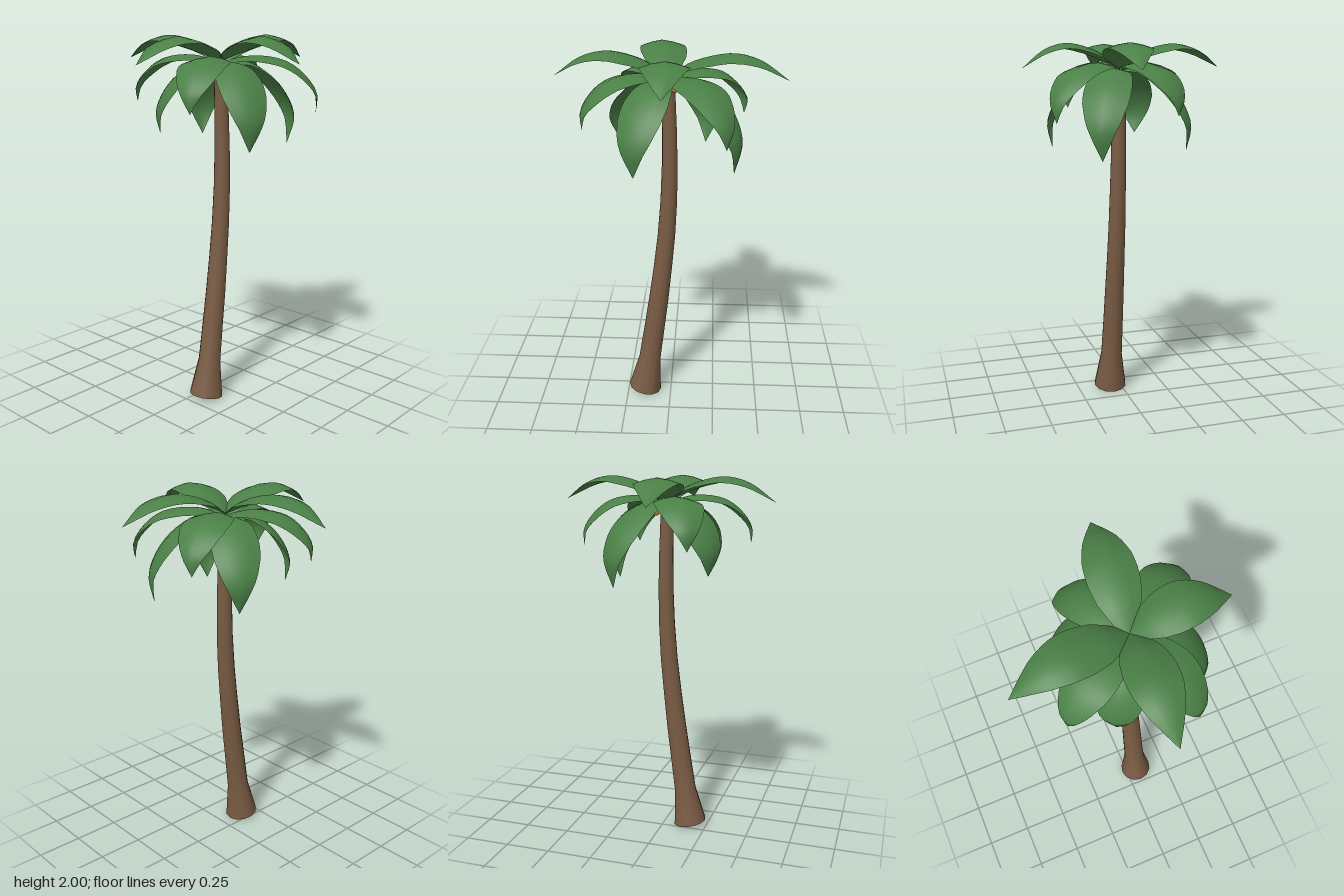
import * as THREE from 'three';

const mat = (name, color, side = THREE.FrontSide) => {
  const m = new THREE.MeshStandardMaterial({ color, side });
  m.name = name;
  return m;
};
const v2 = (list) => list.map(([x, y]) => new THREE.Vector3(x, y, 0));

// Centre of the crown, where all fronds start
const HUB = { x: -0.015, z: 0.05 };

// Half width of a frond along its length
const WIDTHS = [[0, 0.03], [0.1, 0.07], [0.25, 0.108], [0.4, 0.125], [0.55, 0.12],
  [0.72, 0.09], [0.87, 0.045], [1, 0.0005]];
function halfWidth(t) {
  for (let i = 1; i < WIDTHS.length; i++) {
    const [a, wa] = WIDTHS[i - 1], [b, wb] = WIDTHS[i];
    if (t <= b) return THREE.MathUtils.lerp(wa, wb, (t - a) / (b - a));
  }
  return 0;
}

// Three tiers: side profile (radius, height) and tips (x, z, lift of the tip)
const TIERS = [
  { name: 'upperFrond',
    profile: [[0, 1.87], [0.1, 1.943], [0.21, 1.983], [0.33, 2.0], [0.46, 1.968], [0.6, 1.872]],
    tips: [[0.595, 0.11, 0], [-0.02, 0.562, 0], [-0.6, 0.035, 0], [-0.1, -0.566, 0]] },
  { name: 'middleFrond',
    profile: [[0, 1.865], [0.15, 1.9], [0.31, 1.872], [0.41, 1.79], [0.46, 1.7], [0.455, 1.61]],
    tips: [[0.385, -0.15, 0.03], [0.285, 0.45, 0], [-0.437, 0.23, 0.03], [-0.24, -0.357, 0.04]] },
  { name: 'lowerFrond',
    profile: [[0, 1.86], [0.13, 1.87], [0.26, 1.79], [0.345, 1.68], [0.385, 1.56], [0.36, 1.42]],
    tips: [[0.33, 0.23, 0], [-0.17, 0.38, 0.02], [0.18, -0.27, 0.02], [-0.29, -0.13, 0.08]] },
];

// A bent, slightly arched leaf blade from the hub to the tip
function frondGeometry(profile, [tx, tz, lift]) {
  const dx = tx - HUB.x, dz = tz - HUB.z, len = Math.hypot(dx, dz);
  const cx = dx / len, cz = dz / len;
  const stretch = len / profile[profile.length - 1][0];
  const curve = new THREE.CatmullRomCurve3(v2(profile.map(([r, y]) => [r * stretch, y])));
  const L = 16, W = 4;
  const geo = new THREE.PlaneGeometry(1, 1, W, L);
  const pos = geo.attributes.position;
  for (let i = 0; i <= L; i++) {
    const t = i / L;
    const p = curve.getPointAt(t), tan = curve.getTangentAt(t);
    const w = halfWidth(t);
    for (let j = 0; j <= W; j++) {
      const u = (j / W) * 2 - 1;
      const drop = 0.25 * w * Math.pow(Math.abs(u), 1.5);
      const r = p.x + tan.y * drop;
      const y = p.y - tan.x * drop + lift * t * t;
      pos.setXYZ(i * (W + 1) + j,
        HUB.x + cx * r + cz * w * u, y, HUB.z + cz * r - cx * w * u);
    }
  }
  // Reverse the faces so that the upper side is the front
  const idx = geo.index;
  for (let k = 0; k < idx.count; k += 3) {
    const a = idx.getX(k);
    idx.setX(k, idx.getX(k + 1));
    idx.setX(k + 1, a);
  }
  geo.computeVertexNormals();
  if (geo.attributes.normal.getY(2) < 0) {
    for (let k = 0; k < idx.count; k += 3) {
      const a = idx.getX(k);
      idx.setX(k, idx.getX(k + 1));
      idx.setX(k + 1, a);
    }
    geo.computeVertexNormals();
  }
  return geo;
}

// Trunk rings: centre x, y, z, radius, tilt
const RINGS = [
  [-0.152, 0.018, 0.063, 0.094, 0.19], [-0.122, 0.22, 0.062, 0.062, 0.15],
  [-0.094, 0.42, 0.06, 0.058, 0.14], [-0.069, 0.6, 0.059, 0.055, 0.13],
  [-0.045, 0.8, 0.057, 0.051, 0.11], [-0.024, 1.0, 0.055, 0.048, 0.08],
  [-0.011, 1.2, 0.053, 0.045, 0.04], [-0.006, 1.4, 0.05, 0.042, 0.01],
  [-0.008, 1.6, 0.047, 0.039, -0.02], [-0.015, 1.865, 0.045, 0.035, -0.03],
];

function trunkGeometry() {
  const S = 12, n = RINGS.length;
  const geo = new THREE.CylinderGeometry(1, 1, 1, S, n - 1, true);
  const pos = geo.attributes.position;
  for (let i = 0; i < n; i++) {
    const [x, y, z, r, tilt] = RINGS[n - 1 - i];
    for (let j = 0; j <= S; j++) {
      const a = (j / S) * Math.PI * 2, s = Math.sin(a) * r;
      pos.setXYZ(i * (S + 1) + j,
        x + s * Math.cos(tilt), y - s * Math.sin(tilt), z + Math.cos(a) * r);
    }
  }
  geo.computeVertexNormals();
  // Join the normals along the seam
  const nor = geo.attributes.normal;
  for (let i = 0; i < n; i++) {
    const a = i * (S + 1), b = a + S;
    const v = new THREE.Vector3().fromBufferAttribute(nor, a)
      .add(new THREE.Vector3().fromBufferAttribute(nor, b)).normalize();
    nor.setXYZ(a, v.x, v.y, v.z);
    nor.setXYZ(b, v.x, v.y, v.z);
  }
  return geo;
}

export function createModel() {
  const palm = new THREE.Group();
  palm.name = 'palmTree';
  const bark = mat('bark', 0x7a5c44);
  const leaf = mat('leaf', 0x4a8046, THREE.DoubleSide);
  const nut = mat('coconut', 0xc9a050);
  const add = (parent, name, geo, material) => {
    const m = new THREE.Mesh(geo, material);
    m.name = name;
    parent.add(m);
    return m;
  };

  // Curved trunk with a flared foot
  add(palm, 'trunk', trunkGeometry(), bark);
  const [bx, by, bz, br, bt] = RINGS[0];
  const foot = add(palm, 'trunkBottom', new THREE.CircleGeometry(br, 12), bark);
  foot.position.set(bx, by, bz);
  foot.rotation.set(Math.PI / 2, 0, -bt, 'ZYX');

  // Crown of fronds
  const crown = new THREE.Group();
  crown.name = 'crown';
  palm.add(crown);
  for (const { name, profile, tips } of TIERS) {
    tips.forEach((tip, i) => add(crown, `${name}${i + 1}`, frondGeometry(profile, tip), leaf));
  }

  // Coconuts under the crown
  [[0.047, 1.818, 0.04], [0.022, 1.825, 0.08]].forEach(([x, y, z], i) => {
    add(palm, `coconut${i + 1}`, new THREE.SphereGeometry(0.026, 12, 8), nut).position.set(x, y, z);
  });

  return palm;
}
